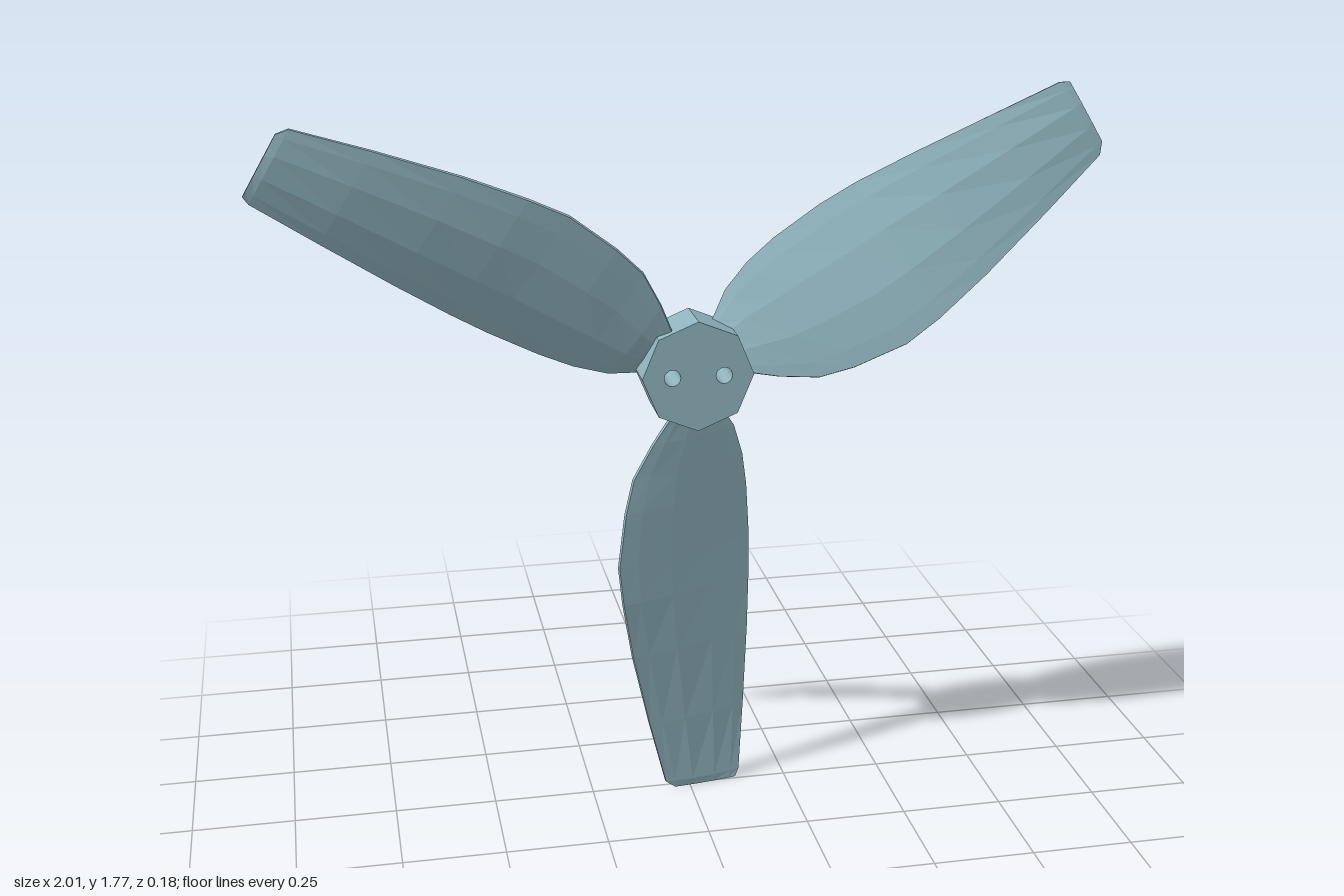
import * as THREE from 'three';

const CENTER = [0.01, 1.115];

// Blade stations: [distance from hub centre, left edge x, right edge x, half twist depth, camber]
const STATIONS = [
  [0.1, -0.06, 0.068, 0.038, 0.012],
  [0.165, -0.11, 0.11, 0.055, 0.016],
  [0.245, -0.16, 0.135, 0.07, 0.02],
  [0.33, -0.182, 0.148, 0.08, 0.022],
  [0.465, -0.2, 0.157, 0.085, 0.022],
  [0.565, -0.19, 0.157, 0.081, 0.021],
  [0.715, -0.165, 0.15, 0.063, 0.018],
  [0.915, -0.12, 0.136, 0.038, 0.013],
  [1.095, -0.075, 0.122, 0.017, 0.008],
  [1.115, -0.05, 0.112, 0.012, 0.003],
];

// Thin cambered section: front points left to right, then back points right to left
function bladeSection([r, left, right, depth, camber]) {
  const us = [0, 0.12, 0.35, 0.65, 0.88, 1];
  const chord = new THREE.Vector2(right - left, -2 * depth);
  const normal = new THREE.Vector2(-chord.y, chord.x).normalize();
  const edge = 0.004;
  const point = (u, offset) => [
    left + chord.x * u + normal.x * offset,
    -r,
    depth + chord.y * u + normal.y * offset,
  ];
  const front = us.map((u) => point(u, edge + camber * Math.sin(Math.PI * u)));
  const back = us.map((u) => point(u, -edge - 0.5 * camber * Math.sin(Math.PI * u)));
  return [...front, ...back.reverse()];
}

function bladeGeometry() {
  const rings = STATIONS.map(bladeSection);
  const n = rings[0].length;
  const last = (rings.length - 1) * n;
  const index = [];
  for (let i = 0; i < rings.length - 1; i++) {
    for (let k = 0; k < n; k++) {
      const a = i * n + k;
      const b = i * n + ((k + 1) % n);
      index.push(a, a + n, b, b, a + n, b + n);
    }
  }
  // End caps, bridging front points to back points
  for (let k = 0; k < n / 2 - 1; k++) {
    const [a, b, c, d] = [k, k + 1, n - 2 - k, n - 1 - k];
    index.push(a, b, c, a, c, d);
    index.push(last + a, last + c, last + b, last + a, last + d, last + c);
  }
  const geometry = new THREE.BufferGeometry();
  geometry.setAttribute('position', new THREE.Float32BufferAttribute(rings.flat(2), 3));
  geometry.setIndex(index);
  const flat = geometry.toNonIndexed();
  flat.computeVertexNormals();
  return flat;
}

// Eight-sided hub with two through holes
function hubGeometry() {
  const corners = Array.from({ length: 8 }, (_, i) => {
    const a = (i * Math.PI) / 4;
    return new THREE.Vector2(0.135 * Math.cos(a), 0.135 * Math.sin(a));
  });
  const shape = new THREE.Shape(corners);
  for (const x of [-0.0625, 0.0625]) {
    shape.holes.push(new THREE.Path().absarc(x, 0, 0.02, 0, Math.PI * 2, true));
  }
  const geometry = new THREE.ExtrudeGeometry(shape, {
    depth: 0.125, bevelEnabled: false, curveSegments: 8,
  });
  return geometry.translate(0, 0, -0.0635);
}

export function createModel() {
  const model = new THREE.Group();
  model.name = 'propeller';
  const material = new THREE.MeshStandardMaterial({ color: 0x8fb3bd, flatShading: true });

  const rotor = new THREE.Group();
  rotor.name = 'rotor';
  rotor.position.set(CENTER[0], CENTER[1], 0);
  model.add(rotor);

  const hub = new THREE.Mesh(hubGeometry(), material);
  hub.name = 'hub';
  rotor.add(hub);

  // Three identical blades: bottom, left and right
  const geometry = bladeGeometry();
  ['bottomBlade', 'leftBlade', 'rightBlade'].forEach((name, i) => {
    const blade = new THREE.Mesh(geometry, material);
    blade.name = name;
    blade.rotation.z = (i * Math.PI * 2) / 3;
    rotor.add(blade);
  });
  return model;
}
